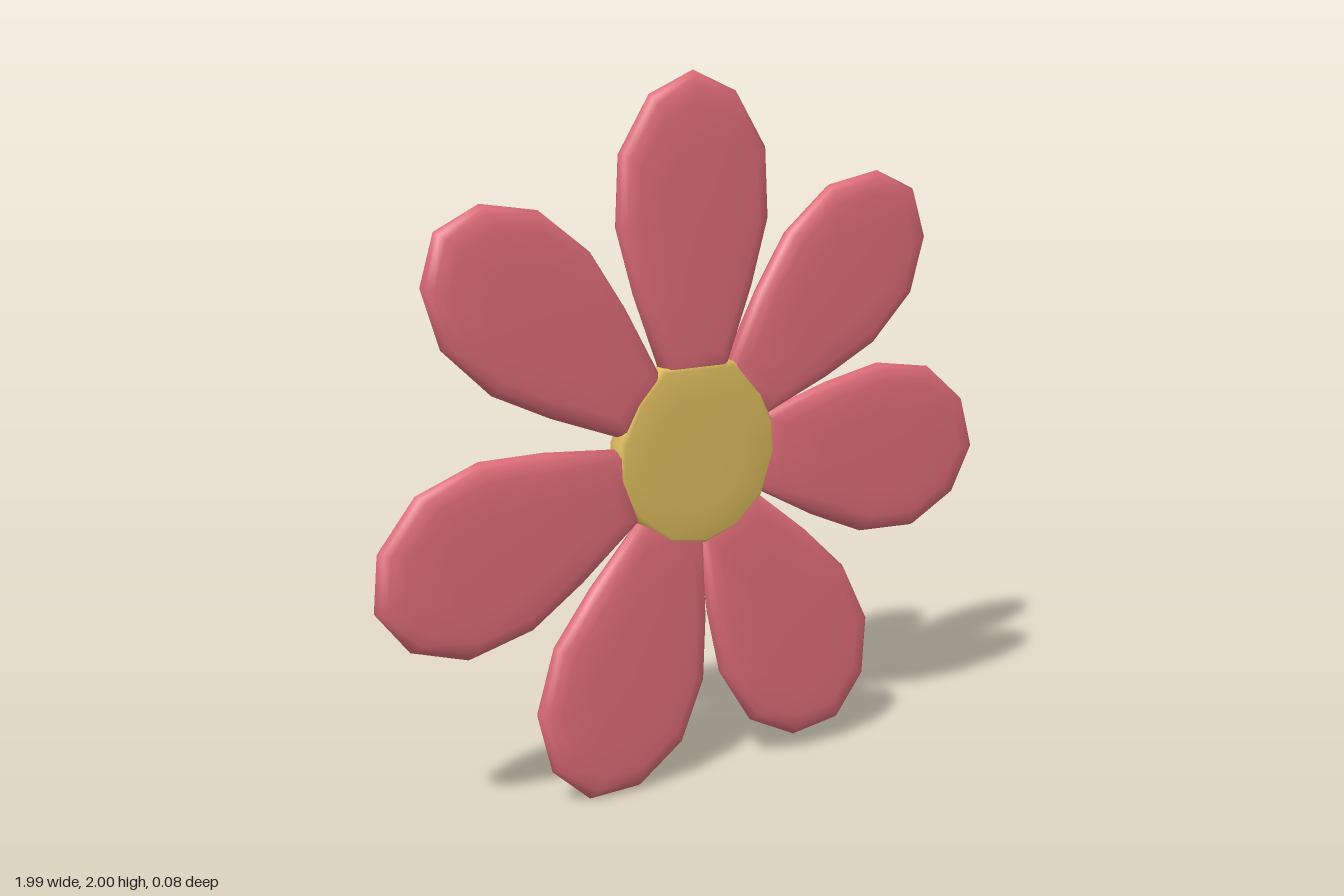
import * as THREE from 'three';

// Closed pillow from a counter-clockwise outline; rings are [scale, depth] from rim to middle.
function pillow(outline, [cx, cy], rings) {
  const back = rings.map(([s, z]) => [s, -z]).reverse();
  const rows = [...back, ...rings.slice(1)];
  const n = outline.length;
  const pos = [], idx = [];
  for (const [s, z] of rows) {
    for (const [x, y] of outline) pos.push(cx + (x - cx) * s, cy + (y - cy) * s, z);
  }
  for (let i = 0; i < rows.length - 1; i++) {
    for (let j = 0; j < n; j++) {
      const k = (j + 1) % n;
      const a = i * n + j, b = i * n + k, c = a + n, d = b + n;
      if (i > 0) idx.push(a, b, d);
      if (i < rows.length - 2) idx.push(a, d, c);
      else idx.push(a, b, c);
    }
  }
  const geo = new THREE.BufferGeometry();
  geo.setAttribute('position', new THREE.Float32BufferAttribute(pos, 3));
  geo.setIndex(idx);
  geo.computeVertexNormals();
  return geo;
}

// Petal pointing along +x: half outline [distance, half width] mirrored about its axis.
function petalGeometry(length, width) {
  const half = [[0.2, 0.095], [0.45, 0.19], [0.64, 0.245], [0.84, 0.235], [0.99, 0.14]]
    .map(([r, w]) => [r * length / 1.05, w * width]);
  const outline = [
    ...half.map(([r, w]) => [r, -w]),
    [length, 0],
    ...half.slice().reverse(),
  ];
  return pillow(outline, [0.65, 0],
    [[1, 0], [0.97, 0.016], [0.92, 0.028], [0.8, 0.037], [0.5, 0.04], [0, 0.04]]);
}

export function createModel() {
  const pink = new THREE.MeshStandardMaterial({ color: 0xdc6b77 });
  pink.name = 'petalPink';
  const yellow = new THREE.MeshStandardMaterial({ color: 0xd9b95c });
  yellow.name = 'centreYellow';

  const flower = new THREE.Group();
  flower.name = 'flower';
  const cx = -0.02, cy = 0.95;

  // Petals: angle in degrees, length, width factor
  const petals = [
    [90, 1.05, 1], [42, 1.03, 0.95], [-6, 1.02, 1.03], [-60, 1.02, 1.03],
    [-110, 1.01, 1.05], [197, 1.025, 1.04], [139.5, 1.03, 0.95],
  ];
  petals.forEach(([angle, length, width], i) => {
    const petal = new THREE.Mesh(petalGeometry(length, width), pink);
    petal.name = 'petal' + (i + 1);
    petal.position.set(cx, cy, 0);
    petal.rotation.z = THREE.MathUtils.degToRad(angle);
    flower.add(petal);
  });

  // Flower centre: a faceted disc with a rounded rim
  const rim = [15, 35, 64, 115, 140, 167, 190, 218, 248, 275, 300, 326, 355].map((deg) => {
    const a = THREE.MathUtils.degToRad(deg);
    const r = deg === 64 || deg === 115 ? 0.28 : 0.262;
    return [r * Math.cos(a), r * Math.sin(a)];
  });
  const centre = new THREE.Mesh(
    pillow(rim, [0, 0], [[1, 0], [0.985, 0.026], [0.94, 0.037], [0.6, 0.041], [0, 0.041]]), yellow);
  centre.name = 'flowerCentre';
  centre.position.set(cx, cy, 0);
  flower.add(centre);

  return flower;
}
